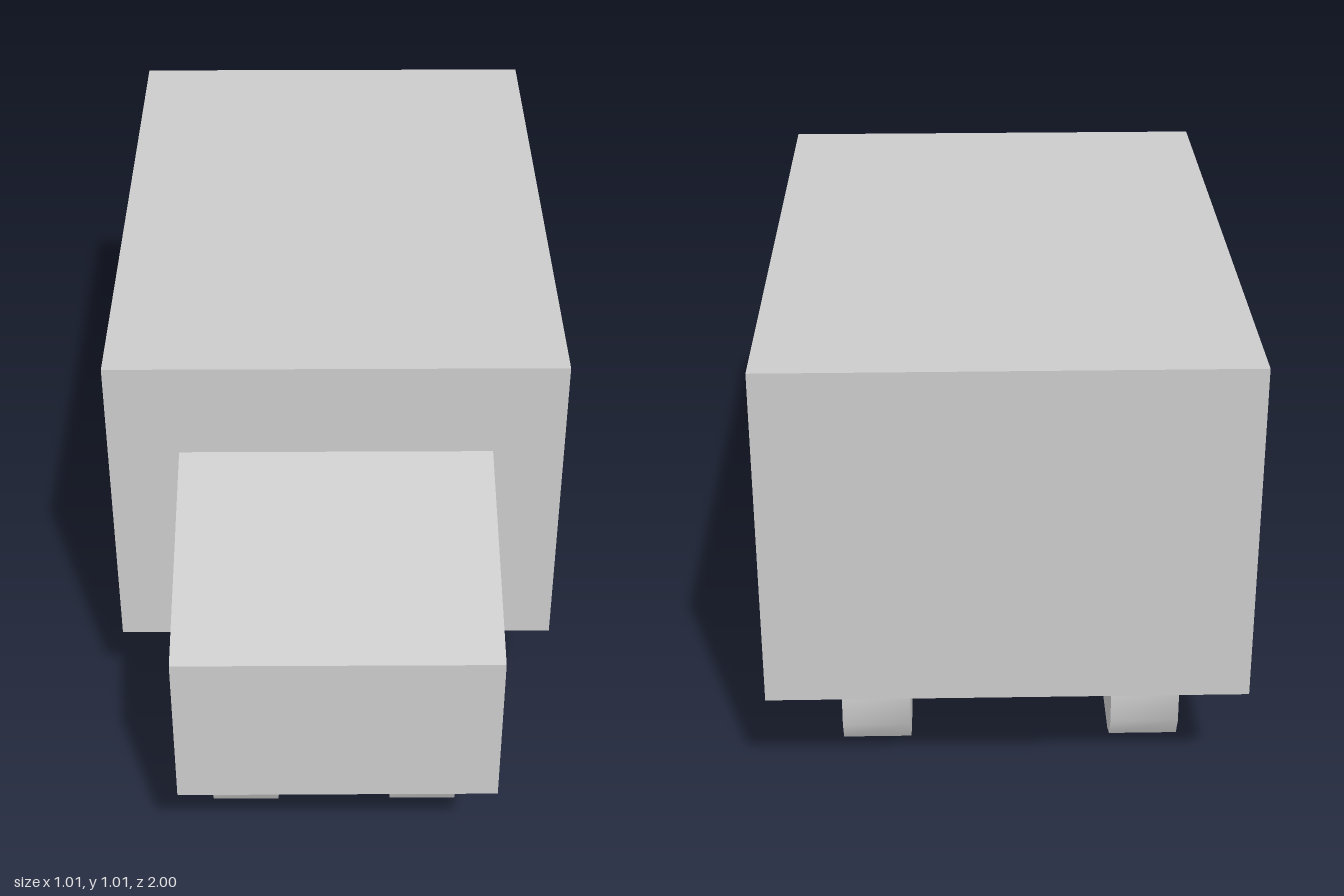
import * as THREE from 'three';
import { toCreasedNormals } from 'three/addons/utils/BufferGeometryUtils.js';

const material = new THREE.MeshStandardMaterial({ color: 0xcccccc });

// Extrudes a (z, y) side profile along x, centred on x = 0
function sideExtrude(points, width) {
  const shape = new THREE.Shape(points.map(([z, y]) => new THREE.Vector2(-z, y)));
  const geometry = new THREE.ExtrudeGeometry(shape, { depth: width, bevelEnabled: false });
  geometry.translate(0, 0, -width / 2);
  geometry.rotateY(Math.PI / 2);
  return toCreasedNormals(geometry, 0.6);
}

export function createModel() {
  const truck = new THREE.Group();
  truck.name = 'truck';

  const add = (name, geometry, x, y, z) => {
    const mesh = new THREE.Mesh(geometry, material);
    mesh.name = name;
    mesh.position.set(x, y, z);
    truck.add(mesh);
  };

  // Cargo box
  add('cargoBox', new THREE.BoxGeometry(1.01, 0.75, 1.475), 0, 0.635, -0.2625);

  // Cab with sloping roof
  const cabProfile = [[0.5, 0.26], [1, 0.26], [1, 0.634], [0.5, 0.808]];
  add('cab', sideExtrude(cabProfile, 0.69), 0, 0, 0);

  // Wheels: rounded-square profile built from one mirrored quarter
  const quarter = [[0.126, 0.06], [0.1, 0.109], [0.054, 0.126]];
  const half = [...quarter, ...quarter.map(([z, y]) => [-z, y]).reverse()];
  const wheelProfile = [...half, ...half.map(([z, y]) => [-z, -y])];
  const wheel = sideExtrude(wheelProfile, 0.15);

  // Axles: z position, right and left wheel centres (front track is narrower)
  const axles = [
    ['front', 0.68, -0.21, 0.197],
    ['middle', -0.117, -0.308, 0.284],
    ['rear', -0.69, -0.308, 0.284],
  ];
  for (const [name, z, right, left] of axles) {
    add(name + 'WheelRight', wheel, right, 0.126, z);
    add(name + 'WheelLeft', wheel, left, 0.126, z);
  }

  return truck;
}
